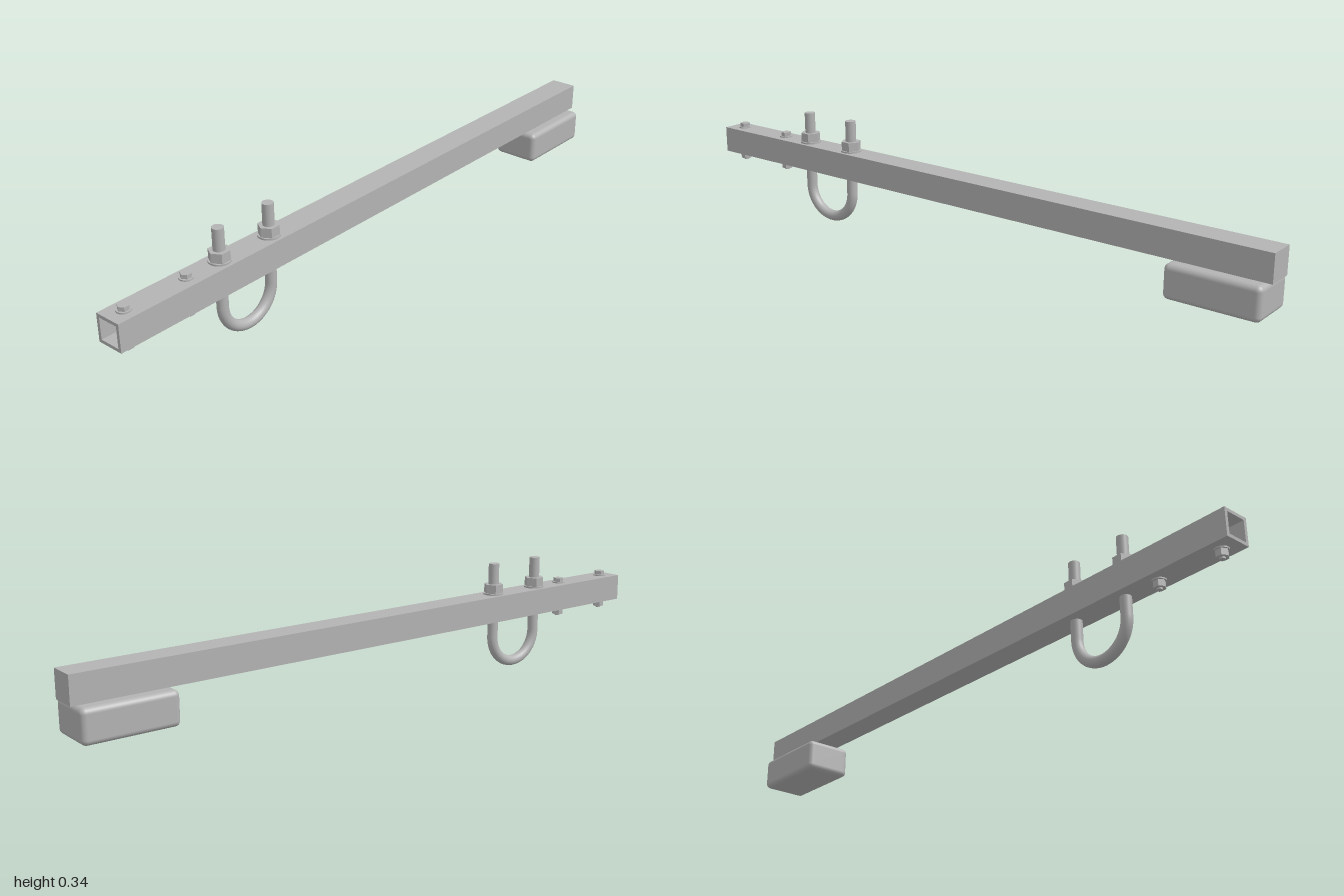
import * as THREE from 'three';
import { RoundedBoxGeometry } from 'three/addons/geometries/RoundedBoxGeometry.js';

const steel = new THREE.MeshStandardMaterial({ color: 0xb3b3b3 });
steel.name = 'plain steel grey';

const BAR_TOP = 0.247, BAR_BOTTOM = 0.165, BAR_MID = 0.206, HALF = 0.042;

function add(parent, name, geometry, x = 0, y = 0, z = 0) {
  const mesh = new THREE.Mesh(geometry, steel);
  mesh.name = name;
  mesh.position.set(x, y, z);
  parent.add(mesh);
  return mesh;
}

// Upright cylinder or hex prism between two heights
function post(parent, name, radius, y0, y1, z, sides = 32) {
  let geometry = new THREE.CylinderGeometry(radius, radius, y1 - y0, sides);
  if (sides === 6) {
    geometry = geometry.toNonIndexed();
    geometry.computeVertexNormals();
  }
  return add(parent, name, geometry, 0, (y0 + y1) / 2, z);
}

// Square outline centred on the origin
function square(path, h) {
  path.moveTo(-h, -h);
  path.lineTo(h, -h);
  path.lineTo(h, h);
  path.lineTo(-h, h);
  path.closePath();
  return path;
}

function makeBar() {
  const bar = new THREE.Group();
  bar.name = 'squareBar';
  const section = square(new THREE.Shape(), HALF - 0.001);
  section.holes.push(square(new THREE.Path(), 0.0315));
  const tube = new THREE.ExtrudeGeometry(section, { depth: 1.99, bevelEnabled: false });
  add(bar, 'hollowTube', tube, 0, BAR_MID, -0.99);
  // Closed rear end
  add(bar, 'endCap', new THREE.BoxGeometry(0.082, 0.082, 0.01), 0, BAR_MID, -0.995);
  return bar;
}

function makeUBolt() {
  const bolt = new THREE.Group();
  bolt.name = 'uBolt';
  const r = 0.0165, bend = 0.09, zc = 0.545, yc = bend + r;
  // Half-ring hanging below the bar
  const arc = new THREE.TorusGeometry(bend, r, 24, 48, Math.PI);
  arc.rotateZ(Math.PI);
  arc.rotateY(Math.PI / 2);
  add(bolt, 'bend', arc, 0, yc, zc);
  for (const side of [-1, 1]) {
    const z = zc + side * bend;
    post(bolt, 'leg', r, yc, 0.345, z);
    post(bolt, 'washer', 0.032, BAR_TOP, 0.252, z);
    post(bolt, 'hexNut', 0.0305, 0.252, 0.28, z, 6);
  }
  return bolt;
}

function makeCrossBolt(z) {
  const bolt = new THREE.Group();
  bolt.name = 'crossBolt';
  post(bolt, 'shank', 0.008, 0.137, 0.255, z, 24);
  post(bolt, 'upperWasher', 0.02, BAR_TOP, 0.251, z);
  post(bolt, 'head', 0.016, 0.251, 0.263, z, 6);
  post(bolt, 'lowerWasher', 0.02, 0.161, BAR_BOTTOM, z);
  post(bolt, 'hexNut', 0.0175, 0.142, 0.161, z, 6);
  return bolt;
}

export function createModel() {
  const model = new THREE.Group();
  model.name = 'barWithUBolt';
  model.add(makeBar(), makeUBolt());
  for (const z of [0.95, 0.75]) model.add(makeCrossBolt(z));
  // Soft-edged block under the rear end
  add(model, 'footBlock', new RoundedBoxGeometry(0.148, 0.099, 0.276, 5, 0.016), 0, 0.1135, -0.849);
  return model;
}
